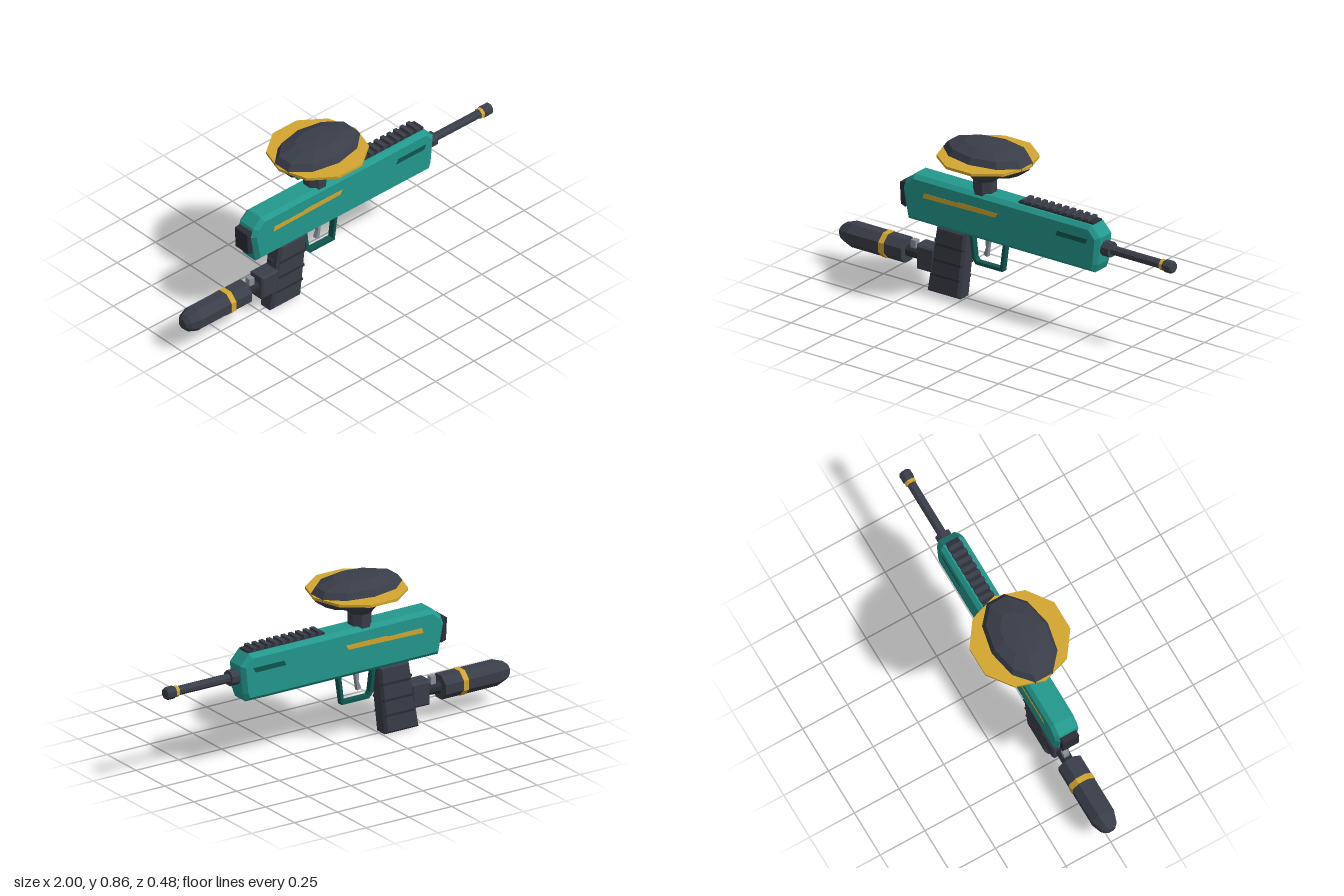
import * as THREE from 'three';

const mat = (name, color) => {
  const m = new THREE.MeshStandardMaterial({ color, flatShading: true });
  m.name = name;
  return m;
};

export function createModel() {
  const model = new THREE.Group();
  model.name = 'paintMarker';
  const teal = mat('teal', 0x23988d);
  const darkTeal = mat('darkTeal', 0x0f574f);
  const charcoal = mat('charcoal', 0x3a3e49);
  const dark = mat('darkCharcoal', 0x2b2e37);
  const gold = mat('gold', 0xd2a62f);
  const grey = mat('grey', 0x8a8f99);

  const add = (name, geo, material, x = 0, y = 0, z = 0) => {
    const m = new THREE.Mesh(geo, material);
    m.name = name;
    m.position.set(x, y, z);
    model.add(m);
    return m;
  };
  const box = (name, material, w, h, d, x, y, z = 0) =>
    add(name, new THREE.BoxGeometry(w, h, d), material, x, y, z);

  // Side outline given a total width and a chamfer all round
  const slab = (name, material, pts, width, bevel = 0, hole) => {
    const shape = new THREE.Shape(pts.map(p => new THREE.Vector2(...p)));
    if (hole) shape.holes.push(new THREE.Path(hole.map(p => new THREE.Vector2(...p))));
    const geo = new THREE.ExtrudeGeometry(shape, {
      depth: width - 2 * bevel, bevelEnabled: bevel > 0, bevelSize: bevel,
      bevelThickness: bevel, bevelOffset: -bevel, bevelSegments: 1,
    });
    geo.translate(0, 0, -width / 2 + bevel);
    return add(name, geo, material);
  };

  // Octagonal turned part lying along x, profile points are [x, radius]
  const turned = (name, material, y, profile) => {
    const geo = new THREE.LatheGeometry(profile.map(([x, r]) => new THREE.Vector2(r, x)), 8);
    geo.rotateY(Math.PI / 8).rotateZ(-Math.PI / 2);
    return add(name, geo, material, 0, y);
  };
  const rod = (name, material, y, x0, x1, r) =>
    turned(name, material, y, [[x0, 0], [x0, r], [x1, r], [x1, 0]]);

  // Receiver
  slab('receiver', teal, [[-0.565, 0.358], [0.56, 0.358], [0.576, 0.4], [0.59, 0.545],
    [0.54, 0.6], [-0.53, 0.6], [-0.58, 0.555], [-0.595, 0.51]], 0.13, 0.02);
  slab('rearCap', dark, [[-0.585, 0.41], [-0.612, 0.42], [-0.618, 0.535], [-0.585, 0.54]], 0.09);

  // Painted stripes and vents on both sides
  slab('sideStripe', gold, [[-0.465, 0.495], [-0.3, 0.498], [-0.03, 0.503], [-0.015, 0.527],
    [-0.25, 0.527], [-0.27, 0.521], [-0.458, 0.521]], 0.133);
  slab('sideVent', darkTeal, [[0.335, 0.505], [0.515, 0.505], [0.527, 0.53], [0.347, 0.53]], 0.134);

  // Top rail
  box('railBase', dark, 0.45, 0.012, 0.07, 0.315, 0.604);
  for (let i = 0; i < 10; i++) box('railTooth', charcoal, 0.022, 0.018, 0.076, 0.118 + i * 0.0425, 0.613);

  // Barrel
  rod('barrelCollar', charcoal, 0.48, 0.57, 0.63, 0.04);
  rod('barrel', charcoal, 0.48, 0.62, 0.96, 0.023);
  rod('barrelRing', gold, 0.48, 0.928, 0.946, 0.028);
  turned('muzzle', charcoal, 0.48, [[0.946, 0], [0.946, 0.028], [0.955, 0.032], [0.992, 0.032], [1, 0.027], [1, 0]]);

  // Hopper neck and funnel
  const neck = new THREE.LatheGeometry([[0.06, 0.58], [0.06, 0.66], [0.11, 0.72], [0.11, 0.75]]
    .map(p => new THREE.Vector2(...p)), 8);
  neck.rotateY(Math.PI / 8);
  add('hopperNeck', neck, charcoal, -0.137);

  // Faceted oval hopper shell
  const shell = new THREE.LatheGeometry([[0, 0.7], [0.64, 0.713], [0.9, 0.743], [1, 0.775],
    [1, 0.79], [0.9, 0.822], [0.53, 0.85], [0, 0.857]].map(p => new THREE.Vector2(...p)), 10);
  shell.scale(0.247, 1, 0.157);
  add('hopperShell', shell, charcoal, -0.12);

  // Ten-sided hopper rim
  const rim = new THREE.CylinderGeometry(0.25, 0.25, 0.014, 10);
  rim.rotateY(Math.PI / 10);
  add('hopperRim', rim, gold, -0.12, 0.782);
  box('hopperButton', teal, 0.025, 0.016, 0.02, -0.315, 0.757, 0.08);

  // Grip with side ridges
  slab('grip', charcoal, [[-0.46, 0], [-0.262, 0], [-0.222, 0.36], [-0.4, 0.36]], 0.092, 0.014);
  for (const y of [0.1, 0.18, 0.265]) box('gripRidge', dark, 0.165, 0.012, 0.098, -0.355 + y * 0.135, y);
  box('gripSpur', dark, 0.03, 0.012, 0.03, -0.418, 0.265);

  // Trigger and guard
  slab('triggerGuard', darkTeal, [[-0.222, 0.36], [-0.205, 0.225], [-0.183, 0.2], [-0.022, 0.2], [0, 0.36]],
    0.032, 0, [[-0.203, 0.35], [-0.019, 0.35], [-0.036, 0.217], [-0.176, 0.217], [-0.188, 0.232]]);
  slab('trigger', grey, [[-0.14, 0.262], [-0.118, 0.253], [-0.103, 0.36], [-0.128, 0.36], [-0.125, 0.3]], 0.022);

  // Air tank and its connector
  slab('tankAdapter', charcoal, [[-0.522, 0.1], [-0.42, 0.1], [-0.41, 0.228], [-0.522, 0.228]], 0.094, 0.01);
  rod('tankConnector', dark, 0.165, -0.61, -0.51, 0.03);
  box('regulatorValve', grey, 0.03, 0.05, 0.03, -0.56, 0.205);
  turned('airTank', charcoal, 0.165, [[-1, 0], [-1, 0.026], [-0.98, 0.047], [-0.925, 0.066],
    [-0.6, 0.066], [-0.6, 0]]);
  rod('tankBand', gold, 0.165, -0.735, -0.705, 0.069);

  return model;
}
